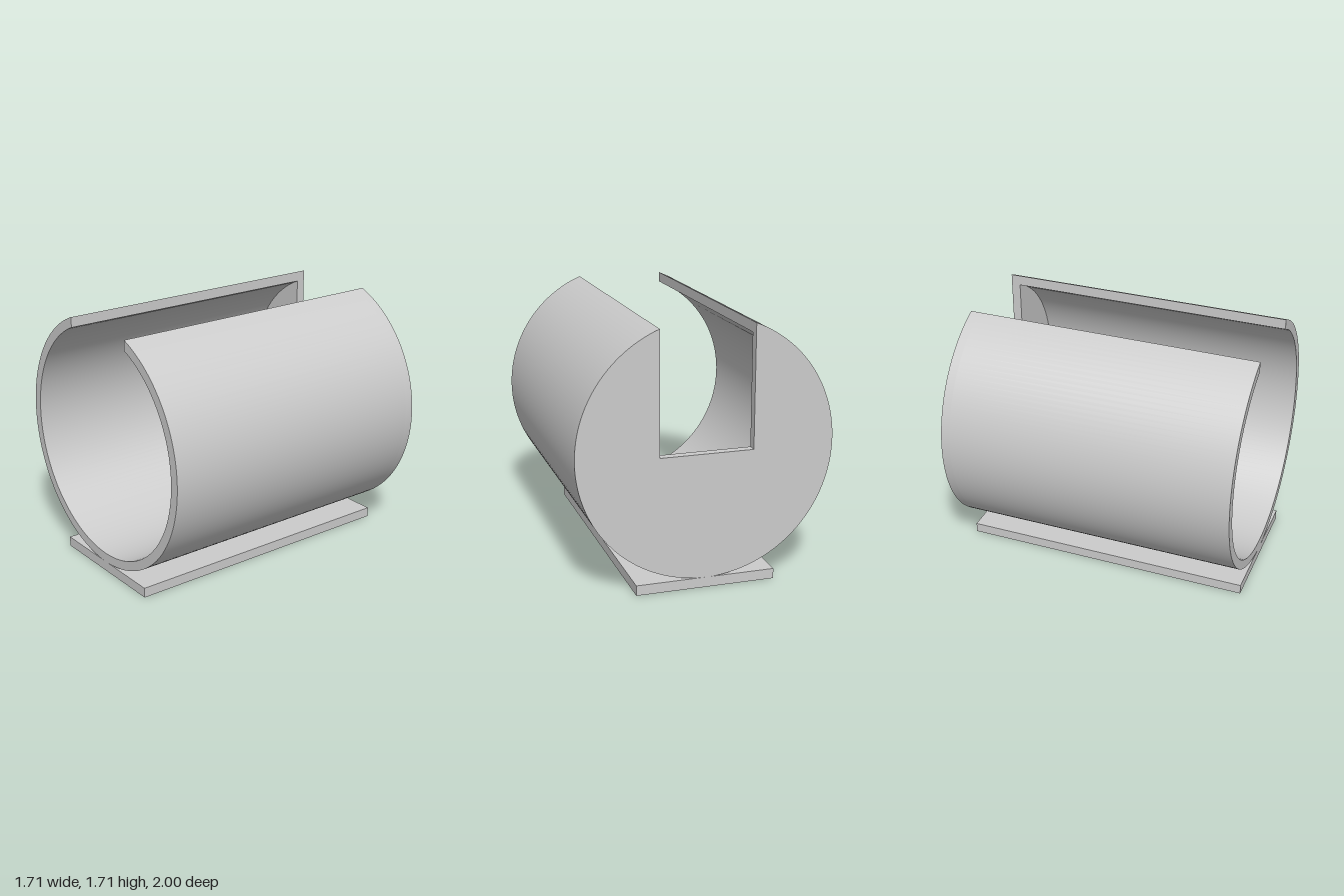
import * as THREE from 'three';
import { toCreasedNormals } from 'three/addons/utils/BufferGeometryUtils.js';

const OUTER = 0.853, INNER = 0.788, SLOT = 0.312; // radii and half slot width
const CENTRE_Y = 0.921, SLOT_FLOOR = 0.9;
const BACK = -1, WALL_FRONT = -0.938, FRONT = 1;

// Angle at which the slot side meets a circle of radius r
const slotAngle = (r) => Math.acos(SLOT / r);

// Starts a shape with the outer arc, running under the axis from slot side to slot side
function outerArc() {
  const a = slotAngle(OUTER);
  return new THREE.Shape().absarc(0, 0, OUTER, Math.PI - a, 2 * Math.PI + a, false);
}

function extrudePart(name, shape, z0, z1) {
  const geometry = new THREE.ExtrudeGeometry(shape, {
    depth: z1 - z0, bevelEnabled: false, curveSegments: 64,
  });
  const mesh = new THREE.Mesh(
    toCreasedNormals(geometry, 0.4),
    new THREE.MeshStandardMaterial({ color: 0xcccccc }),
  );
  mesh.name = name;
  mesh.position.set(0, CENTRE_Y, z0);
  return mesh;
}

export function createModel() {
  const model = new THREE.Group();
  model.name = 'slottedTubeHolder';

  // Tube wall, open along the top
  const shell = outerArc();
  const a = slotAngle(INNER);
  shell.absarc(0, 0, INNER, a, Math.PI - a, true);
  shell.closePath();
  model.add(extrudePart('tubeShell', shell, WALL_FRONT, FRONT));

  // Back wall with a square-bottomed slot
  const wall = outerArc();
  wall.lineTo(SLOT, SLOT_FLOOR - CENTRE_Y);
  wall.lineTo(-SLOT, SLOT_FLOOR - CENTRE_Y);
  wall.closePath();
  model.add(extrudePart('backWall', wall, BACK, WALL_FRONT));

  // Flat foot under the tube
  const base = new THREE.Mesh(
    new THREE.BoxGeometry(0.935, 0.068, 2),
    new THREE.MeshStandardMaterial({ color: 0xcccccc }),
  );
  base.name = 'basePlate';
  base.position.y = 0.034;
  model.add(base);

  return model;
}
